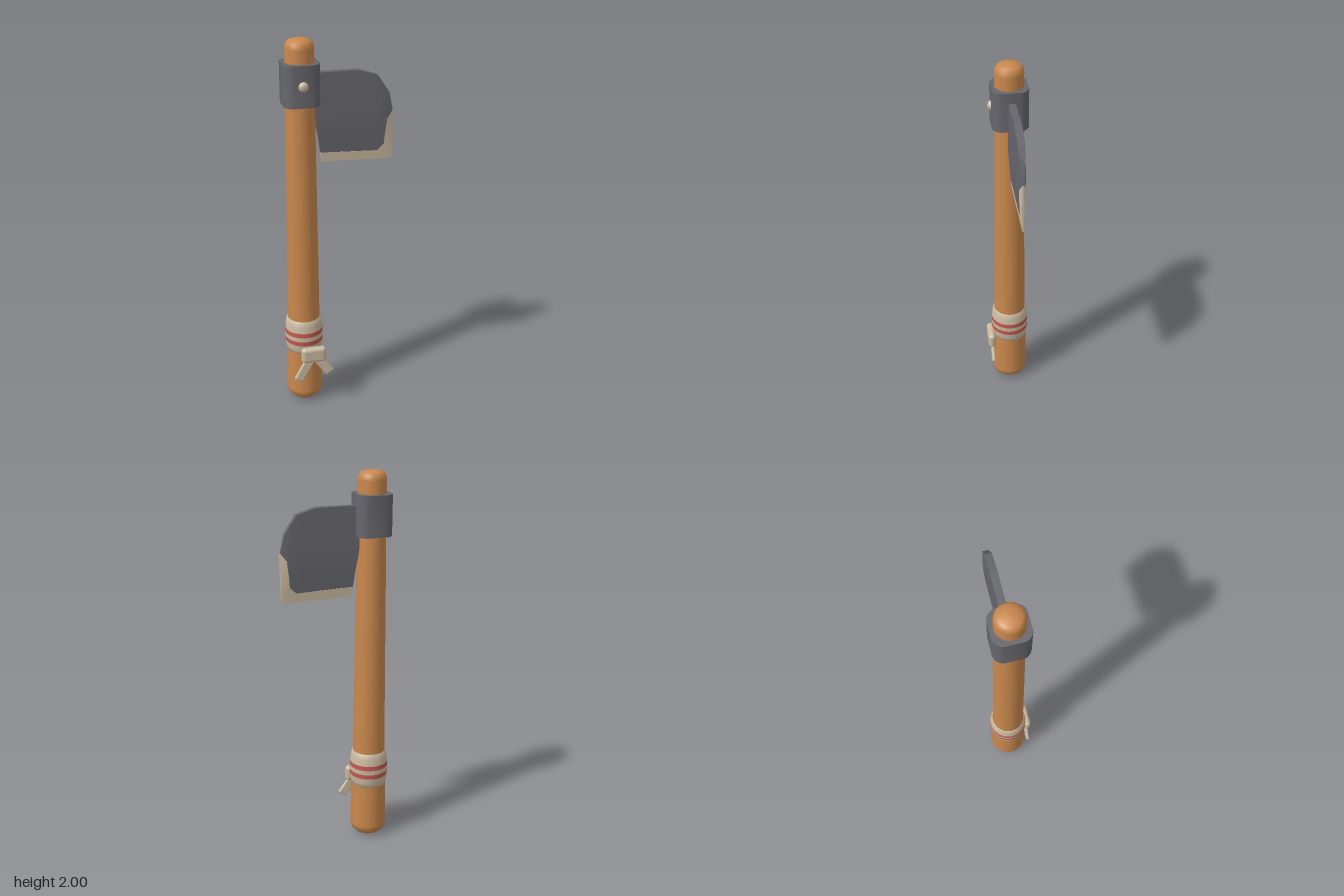
import * as THREE from 'three';
import { toCreasedNormals } from 'three/addons/utils/BufferGeometryUtils.js';
import { RoundedBoxGeometry } from 'three/addons/geometries/RoundedBoxGeometry.js';

const AX = -0.19, AZ = -0.016; // handle axis

const material = (name, color) => {
  const m = new THREE.MeshStandardMaterial({ color });
  m.name = name;
  return m;
};

function lathe(profile) {
  return new THREE.LatheGeometry(profile.map(([r, y]) => new THREE.Vector2(r, y)), 40);
}

// Half thickness of the blade: thins toward the lower and outer edges
function halfThickness(x, y) {
  return 0.018 * Math.max(0.2, Math.min(1, (y - 1.31) / 0.25, (0.3 - x) / 0.055));
}

// Closed plate from a grid of [x, y] points (rows top to bottom, columns left to right)
function plate(grid) {
  const rows = grid.length, cols = grid[0].length;
  const pos = [], index = [];
  const add = ([x, y], side) => pos.push(x, y, AZ - 0.002 + side * halfThickness(x, y)) / 3 - 1;
  for (const side of [1, -1]) {
    const base = pos.length / 3;
    grid.forEach(row => row.forEach(p => add(p, side)));
    for (let r = 0; r < rows - 1; r++) for (let c = 0; c < cols - 1; c++) {
      const a = base + r * cols + c, b = a + 1, d = a + cols, e = d + 1;
      if (side > 0) index.push(a, d, b, b, d, e);
      else index.push(a, b, d, b, e, d);
    }
  }
  // Rim, walked counter-clockwise as seen from the front
  const rim = [
    ...grid.map(row => row[0]),
    ...grid[rows - 1].slice(1),
    ...grid.slice(0, -1).reverse().map(row => row[cols - 1]),
    ...grid[0].slice(1, -1).reverse(),
  ];
  rim.forEach((p, i) => {
    const q = rim[(i + 1) % rim.length];
    const a = add(p, 1), b = add(p, -1), c = add(q, 1), d = add(q, -1);
    index.push(a, b, c, c, b, d);
  });
  const g = new THREE.BufferGeometry();
  g.setAttribute('position', new THREE.Float32BufferAttribute(pos, 3));
  g.setIndex(index);
  return toCreasedNormals(g, 0.6);
}

const mix = (a, b, t) => [a[0] + (b[0] - a[0]) * t, a[1] + (b[1] - a[1]) * t];

export function createModel() {
  const group = new THREE.Group();
  const wood = material('wood', 0xc8874c);
  const iron = material('iron', 0x67666d);
  const cream = material('cream', 0xcabaa0);
  const red = material('red', 0xc4584f);

  const part = (name, geometry, mat, x = 0, y = 0, z = 0) => {
    const mesh = new THREE.Mesh(geometry, mat);
    mesh.name = name;
    mesh.position.set(x, y, z);
    group.add(mesh);
    return mesh;
  };

  // Handle, thicker toward the rounded butt
  part('handle', lathe([
    [0, 0.003], [0.04, 0.006], [0.07, 0.017], [0.088, 0.035], [0.096, 0.058], [0.097, 0.07],
    [0.093, 0.3], [0.085, 0.55], [0.079, 1.1], [0.073, 1.68], [0.072, 1.95],
    [0.068, 1.974], [0.055, 1.99], [0.03, 1.998], [0, 2],
  ]), wood, AX, 0, AZ);

  // Iron collar with rounded corners
  const h = 0.09, k = 0.05;
  const s = new THREE.Shape();
  s.moveTo(-k, -h);
  s.lineTo(k, -h);
  s.quadraticCurveTo(h - 0.01, -h + 0.01, h, -k);
  s.lineTo(h, k);
  s.quadraticCurveTo(h - 0.01, h - 0.01, k, h);
  s.lineTo(-k, h);
  s.quadraticCurveTo(-h + 0.01, h - 0.01, -h, k);
  s.lineTo(-h, -k);
  s.quadraticCurveTo(-h + 0.01, -h + 0.01, -k, -h);
  const collar = new THREE.ExtrudeGeometry(s, { depth: 0.207, bevelEnabled: false, curveSegments: 6 });
  collar.rotateX(-Math.PI / 2);
  part('collar', toCreasedNormals(collar, 0.6), iron, AX, 1.678, AZ);

  // Rivet on the collar front
  part('rivet', new THREE.SphereGeometry(0.025, 20, 14), cream, AX, 1.783, 0.072)
    .scale.z = 0.75;

  // Blade body: left and right ends of each row
  const bodyRows = [
    [[-0.13, 1.83], [0.1, 1.83]], [[-0.13, 1.8], [0.2, 1.8]], [[-0.13, 1.71], [0.26, 1.71]],
    [[-0.12, 1.62], [0.283, 1.615]], [[-0.113, 1.57], [0.253, 1.575]], [[-0.1, 1.5], [0.243, 1.5]],
    [[-0.094, 1.45], [0.238, 1.44]], [[-0.09, 1.42], [0.205, 1.408]],
  ];
  const steps = [0, 0.3, 0.6, 0.8, 0.9, 1];
  part('bladeBody', plate(bodyRows.map(([l, r]) => steps.map(t => mix(l, r, t)))), iron);

  // Sharpened edge wrapping the lower and outer sides
  const inner = [[-0.09, 1.42], [0.06, 1.413], [0.205, 1.408], [0.238, 1.44], [0.243, 1.5], [0.253, 1.575], [0.283, 1.615]];
  const outer = [[-0.085, 1.37], [0.06, 1.366], [0.2, 1.362], [0.282, 1.358], [0.284, 1.48], [0.285, 1.56], [0.286, 1.615]];
  part('bladeEdge', plate([inner, outer]), cream);

  // Cloth wrap with two stripes
  const wrap = [[0.08, 0.309], [0.093, 0.31], [0.098, 0.335], [0.101, 0.365], [0.102, 0.39],
    [0.102, 0.415], [0.101, 0.44], [0.097, 0.475], [0.09, 0.504], [0.08, 0.505]];
  const band = (name, from, to, mat) => part(name, lathe(wrap.slice(from, to + 1)), mat, AX, 0, AZ);
  band('wrapLower', 0, 3, cream);
  band('stripeLower', 3, 4, red);
  band('wrapMiddle', 4, 5, cream);
  band('stripeUpper', 5, 6, red);
  band('wrapUpper', 6, 9, cream);

  // Knot and its two tails
  part('knot', new RoundedBoxGeometry(0.134, 0.088, 0.042, 5, 0.02), cream, -0.161, 0.315, 0.094);
  const tail = (name, x, y, length, angle) => {
    const mesh = part(name, new RoundedBoxGeometry(0.052, length, 0.02, 4, 0.009), cream, x, y, 0.091);
    mesh.rotation.z = angle;
  };
  tail('rightTail', -0.213, 0.223, 0.14, -0.5);
  tail('leftTail', -0.107, 0.241, 0.125, 0.61);

  return group;
}
